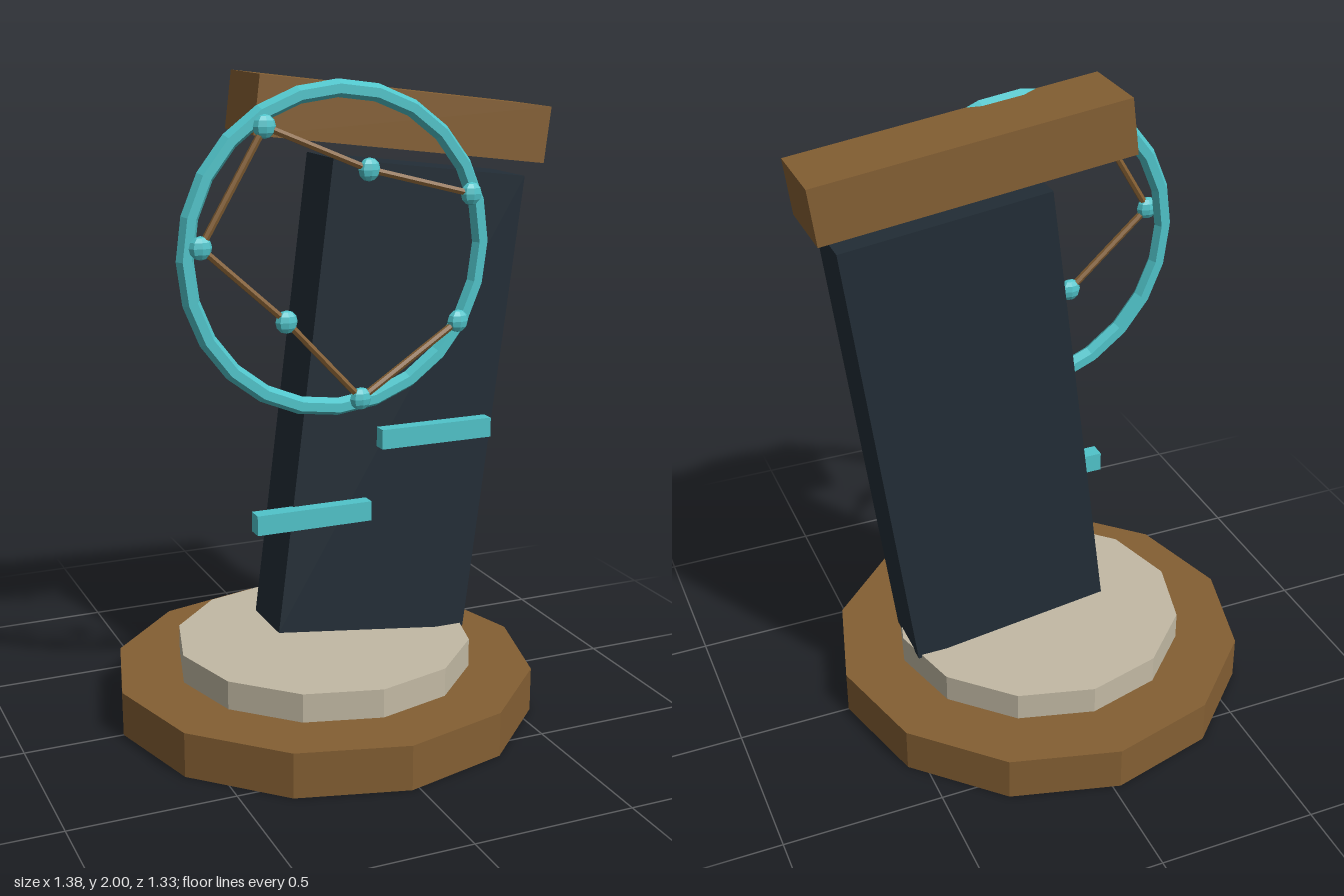
import * as THREE from 'three';

const mat = (name, color) => {
  const m = new THREE.MeshStandardMaterial({ color, flatShading: true });
  m.name = name;
  return m;
};

export function createModel() {
  const brown = mat('brown wood', 0x845f33);
  const stone = mat('pale stone', 0xc2b9a4);
  const navy = mat('dark slate', 0x222d36);
  const teal = mat('teal', 0x50c4ca);

  const model = new THREE.Group();
  model.name = 'leaningMonument';
  const add = (name, geometry, material, x, y, z, tilt = 0) => {
    const mesh = new THREE.Mesh(geometry, material);
    mesh.name = name;
    mesh.position.set(x, y, z);
    mesh.rotation.z = tilt;
    model.add(mesh);
    return mesh;
  };

  // Twelve-sided stepped base
  const cx = -0.024;
  add('lowerBase', new THREE.CylinderGeometry(0.666, 0.666, 0.14, 12), brown, cx, 0.07, 0);
  add('upperBase', new THREE.CylinderGeometry(0.468, 0.468, 0.09, 12), stone, cx, 0.185, 0);

  // Leaning slab with a beam floating just above it
  const tilt = -0.125;
  add('slab', new THREE.BoxGeometry(0.645, 1.465, 0.204), navy, 0.198, 0.985, 0, tilt);
  add('topBeam', new THREE.BoxGeometry(0.957, 0.172, 0.24), brown, 0.2, 1.855, 0, tilt);

  // Ring on the front
  add('ring', new THREE.TorusGeometry(0.473, 0.027, 6, 24), teal, cx, 1.482, 0.119);

  // Level bars on the front of the slab
  const bar = new THREE.BoxGeometry(0.374, 0.062, 0.05);
  add('upperBar', bar, teal, 0.302, 0.894, 0.12);
  add('lowerBar', bar, teal, -0.108, 0.671, 0.12);

  // Constellation: beads joined by thin rods in one open chain
  const beads = [
    [0.394, 1.635], [0.058, 1.722], [-0.267, 1.857], [-0.463, 1.524],
    [-0.204, 1.291], [0.034, 1.037], [0.357, 1.249],
  ].map(([x, y]) => new THREE.Vector3(x, y, 0.16));
  const beadGeometry = new THREE.SphereGeometry(0.035, 8, 6);
  beads.forEach((p, i) => {
    add('bead' + (i + 1), beadGeometry, teal, p.x, p.y, p.z).scale.z = 0.62;
    if (i === 0) return;
    const d = p.clone().sub(beads[i - 1]);
    const mid = p.clone().add(beads[i - 1]).multiplyScalar(0.5);
    add('rod' + i, new THREE.CylinderGeometry(0.011, 0.011, d.length(), 6), brown,
      mid.x, mid.y, mid.z, Math.atan2(d.y, d.x) - Math.PI / 2);
  });

  return model;
}
